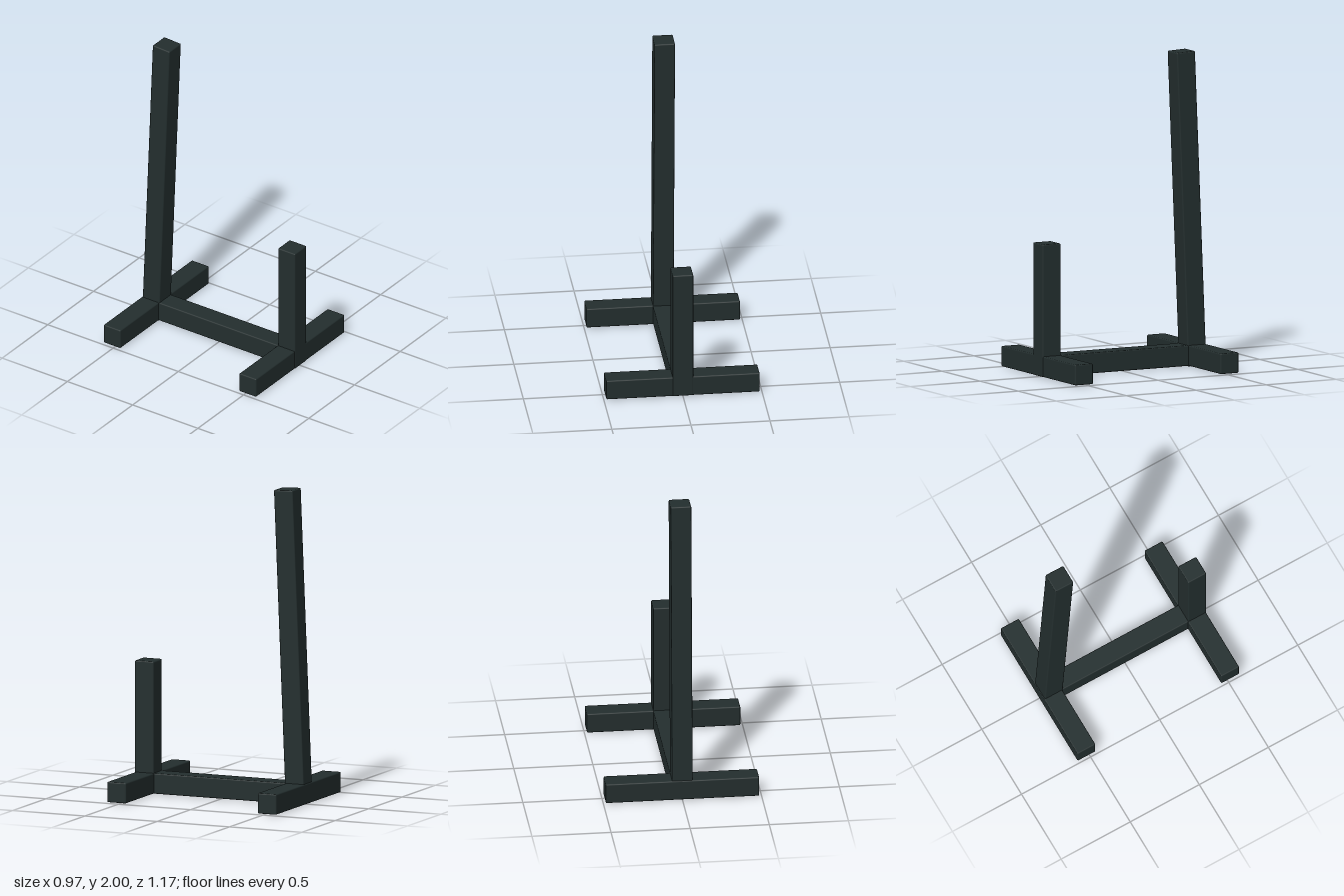
import * as THREE from 'three';
import { RoundedBoxGeometry } from 'three/addons/geometries/RoundedBoxGeometry.js';

const BAR = 0.13; // square bar thickness
const BEVEL = 0.008;

export function createModel() {
  const group = new THREE.Group();
  const paint = new THREE.MeshStandardMaterial({ color: 0x232e2e });
  paint.name = 'dark green grey paint';

  // one softly bevelled bar
  const bar = (name, size, position) => {
    const mesh = new THREE.Mesh(new RoundedBoxGeometry(...size, 2, BEVEL), paint);
    mesh.name = name;
    mesh.position.set(...position);
    group.add(mesh);
    return mesh;
  };

  // cross feet joined by the spine
  bar('frontFoot', [0.97, BAR, BAR], [0, 0.07, 0.52]);
  bar('backFoot', [0.97, BAR, BAR], [0, 0.07, -0.52]);
  bar('spine', [BAR, BAR, 1.17], [0, 0.07, 0]);

  // short upright post at the front
  bar('frontPost', [BAR, 0.84, BAR], [0, 0.425, 0.523]);

  // tall back post leaning slightly forward
  const backPost = bar('backPost', [BAR, 1.996, BAR], [0, 1, -0.479]);
  backPost.rotation.x = 0.041;

  return group;
}
